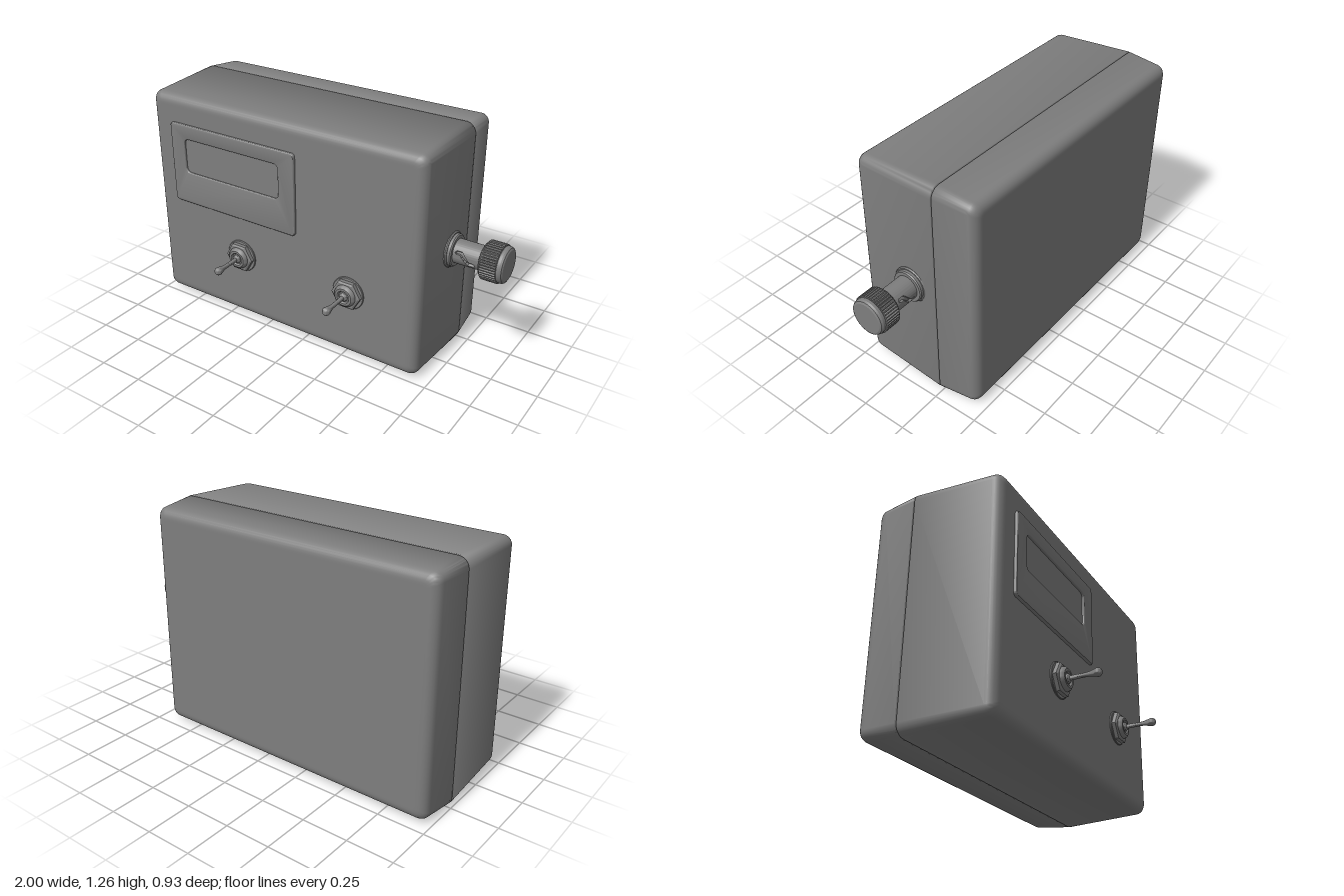
import * as THREE from 'three';
import { toCreasedNormals } from 'three/addons/utils/BufferGeometryUtils.js';
import { ParametricGeometry } from 'three/addons/geometries/ParametricGeometry.js';

const darkGrey = new THREE.MeshStandardMaterial({ color: 0x7e7e7e });

function add(parent, name, geometry, crease = 0.6) {
  const mesh = new THREE.Mesh(toCreasedNormals(geometry, crease), darkGrey);
  mesh.name = name;
  parent.add(mesh);
  return mesh;
}

// Rounded rectangle, counter-clockwise
function roundedRect(x0, y0, x1, y1, r, Type = THREE.Shape) {
  const s = new Type(), h = Math.PI / 2;
  s.absarc(x1 - r, y0 + r, r, -h, 0);
  s.absarc(x1 - r, y1 - r, r, 0, h);
  s.absarc(x0 + r, y1 - r, r, h, 2 * h);
  s.absarc(x0 + r, y0 + r, r, 2 * h, 3 * h);
  s.closePath();
  return s;
}

// Closed loft through rounded rectangles [z, inset], back to front
function loftShell(sections) {
  const X0 = -1, X1 = 0.704, Y0 = 0, Y1 = 1.256, seg = 8;
  const pos = [], index = [], n = 4 * (seg + 1);
  for (const [z, d] of sections) {
    const r = Math.max(0.02, 0.055 - d * 0.5);
    for (let k = 0; k < 4; k++) {
      const cx = k === 0 || k === 3 ? X1 - d - r : X0 + d + r;
      const cy = k < 2 ? Y1 - d - r : Y0 + d + r;
      for (let j = 0; j <= seg; j++) {
        const a = (k + j / seg) * Math.PI / 2;
        pos.push(cx + r * Math.cos(a), cy + r * Math.sin(a), z);
      }
    }
  }
  const last = sections.length - 1;
  for (let s = 0; s < last; s++) {
    for (let i = 0; i < n; i++) {
      const a = s * n + i, b = s * n + (i + 1) % n;
      index.push(a, b, b + n, a, b + n, a + n);
    }
  }
  const c = pos.length / 3;
  pos.push(-0.148, 0.628, sections[0][0], -0.148, 0.628, sections[last][0]);
  for (let i = 0; i < n; i++) {
    const j = (i + 1) % n;
    index.push(c, j, i, c + 1, last * n + i, last * n + j);
  }
  const g = new THREE.BufferGeometry();
  g.setAttribute('position', new THREE.Float32BufferAttribute(pos, 3));
  g.setIndex(index);
  return g;
}

// Quarter-round edge from the side wall (inset d) to a face at z, ending in a flat rim
function roundedEdge(z, d, r, dir) {
  const edge = Array.from({ length: 7 }, (_, i) => {
    const a = i / 6 * Math.PI / 2;
    return [z - dir * r * (1 - Math.sin(a)), d + r * (1 - Math.cos(a))];
  });
  return [...edge, [z, d + r + 0.012]];
}

const lathe = (pts, seg = 40) =>
  new THREE.LatheGeometry(pts.map(([r, y]) => new THREE.Vector2(r, y)), seg);
const alongZ = g => g.rotateX(Math.PI / 2);
const alongX = g => g.rotateZ(-Math.PI / 2);

function toggleSwitch(x) {
  const g = new THREE.Group();
  g.name = 'toggleSwitch';
  add(g, 'washer', alongZ(lathe([[0, 0], [0.092, 0], [0.092, 0.005], [0.089, 0.008], [0, 0.008]])));
  // Hexagonal nut with a chamfered rim
  const nut = lathe([[0, 0.006], [0.085, 0.006], [0.085, 0.028], [0.075, 0.034], [0, 0.034]], 6);
  add(g, 'nut', alongZ(nut.rotateY(Math.PI / 2)), 0.3);
  add(g, 'collar', alongZ(lathe([[0.062, 0.032], [0.058, 0.045], [0.048, 0.054], [0.036, 0.054],
    [0.03, 0.046], [0, 0.046]])));
  const lever = [[0, 0.04], [0.024, 0.044], [0.022, 0.055], [0.012, 0.062], [0.011, 0.12],
    [0.012, 0.16], [0.018, 0.185]];
  for (let i = 0; i <= 8; i++) {
    const a = -0.4 + (Math.PI / 2 + 0.4) * i / 8;
    lever.push([Math.max(0, 0.022 * Math.cos(a)), 0.203 + 0.022 * Math.sin(a)]);
  }
  add(g, 'lever', alongZ(lathe(lever, 24)), 0.8);
  g.position.set(x, 0.397, 0.24);
  return g;
}

// Bayonet sleeve: a tube whose surface dips along two slanted slots
function bayonetSleeve() {
  const path = [[0.75, 0.36], [0.772, 0.36], [0.812, -0.4], [0.835, -0.4]];
  const R = 0.064;
  const slotDistance = (x, arc) => {
    let best = 1;
    for (let i = 0; i < 3; i++) {
      const [x0, a0] = path[i], [x1, a1] = path[i + 1];
      const dx = x1 - x0, dy = (a1 - a0) * R;
      const t = THREE.MathUtils.clamp(((x - x0) * dx + (arc - a0 * R) * dy) / (dx * dx + dy * dy), 0, 1);
      best = Math.min(best, Math.hypot(x - x0 - dx * t, arc - a0 * R - dy * t));
    }
    return best;
  };
  return new ParametricGeometry((u, v, p) => {
    const x = 0.71 + 0.175 * u, phi = v * Math.PI * 2;
    // Angle measured from the front or the back, repeated every half turn
    const a = phi % Math.PI - Math.PI / 2;
    const r = slotDistance(x, a * R) < 0.009 ? R - 0.012 : R;
    p.set(x, -r * Math.cos(phi), r * Math.sin(phi));
  }, 60, 144);
}

function connector() {
  const g = new THREE.Group();
  g.name = 'sideConnector';
  add(g, 'mountingWasher', alongX(lathe([[0, 0.67], [0.096, 0.67], [0.096, 0.7], [0.091, 0.706], [0, 0.706]])));
  add(g, 'flange', alongX(lathe([[0, 0.7], [0.086, 0.7], [0.086, 0.72], [0.081, 0.726], [0, 0.726]])));
  add(g, 'bayonetSleeve', bayonetSleeve());
  add(g, 'knobCore', alongX(lathe([[0, 0.872], [0.085, 0.872], [0.095, 0.88], [0.095, 0.89], [0.09, 0.895],
    [0.09, 0.965], [0.095, 0.97], [0.095, 0.985], [0.09, 0.995], [0.08, 1], [0, 1]], 48)), 0.45);
  // Knurled grip
  const teeth = 44, outline = [];
  for (let i = 0; i < teeth; i++) {
    [[0, 0.094], [0.3, 0.102], [0.65, 0.102], [0.95, 0.094]].forEach(([t, r]) => {
      const a = (i + t) / teeth * Math.PI * 2;
      outline.push(new THREE.Vector2(r * Math.cos(a), r * Math.sin(a)));
    });
  }
  const grip = new THREE.ExtrudeGeometry(new THREE.Shape(outline), { depth: 0.082, bevelEnabled: false });
  add(g, 'knurledGrip', grip.rotateY(Math.PI / 2).translate(0.885, 0, 0), 0.3);
  g.position.set(0, 0.633, -0.08);
  return g;
}

export function createModel() {
  const model = new THREE.Group();
  model.name = 'controlBox';

  // Two tapered case halves, softly shaded into a fine seam groove
  add(model, 'frontCase', loftShell([[-0.2355, 0.008], [-0.231, 0], ...roundedEdge(0.24, 0.018, 0.05, 1)]), 1.2);
  add(model, 'backCover', loftShell([...roundedEdge(-0.465, 0.018, 0.05, -1).reverse(),
    [-0.24, 0.001], [-0.2355, 0.008]]), 1.2);

  // Display frame with a recessed window
  const frame = roundedRect(-0.85, 0.63, -0.037, 1.09, 0.02);
  frame.holes.push(roundedRect(-0.757, 0.816, -0.138, 1.01, 0.028, THREE.Path));
  add(model, 'displayFrame', new THREE.ExtrudeGeometry(frame, {
    depth: 0.018, bevelThickness: 0.008, bevelSize: 0.008, bevelOffset: -0.008, bevelSegments: 3, curveSegments: 6,
  }).translate(0, 0, 0.23), 0.3);
  const pane = new THREE.BoxGeometry(0.66, 0.23, 0.02);
  add(model, 'displayWindow', pane.translate(-0.447, 0.913, 0.234));

  for (const x of [-0.405, 0.285]) model.add(toggleSwitch(x));
  model.add(connector());
  return model;
}
